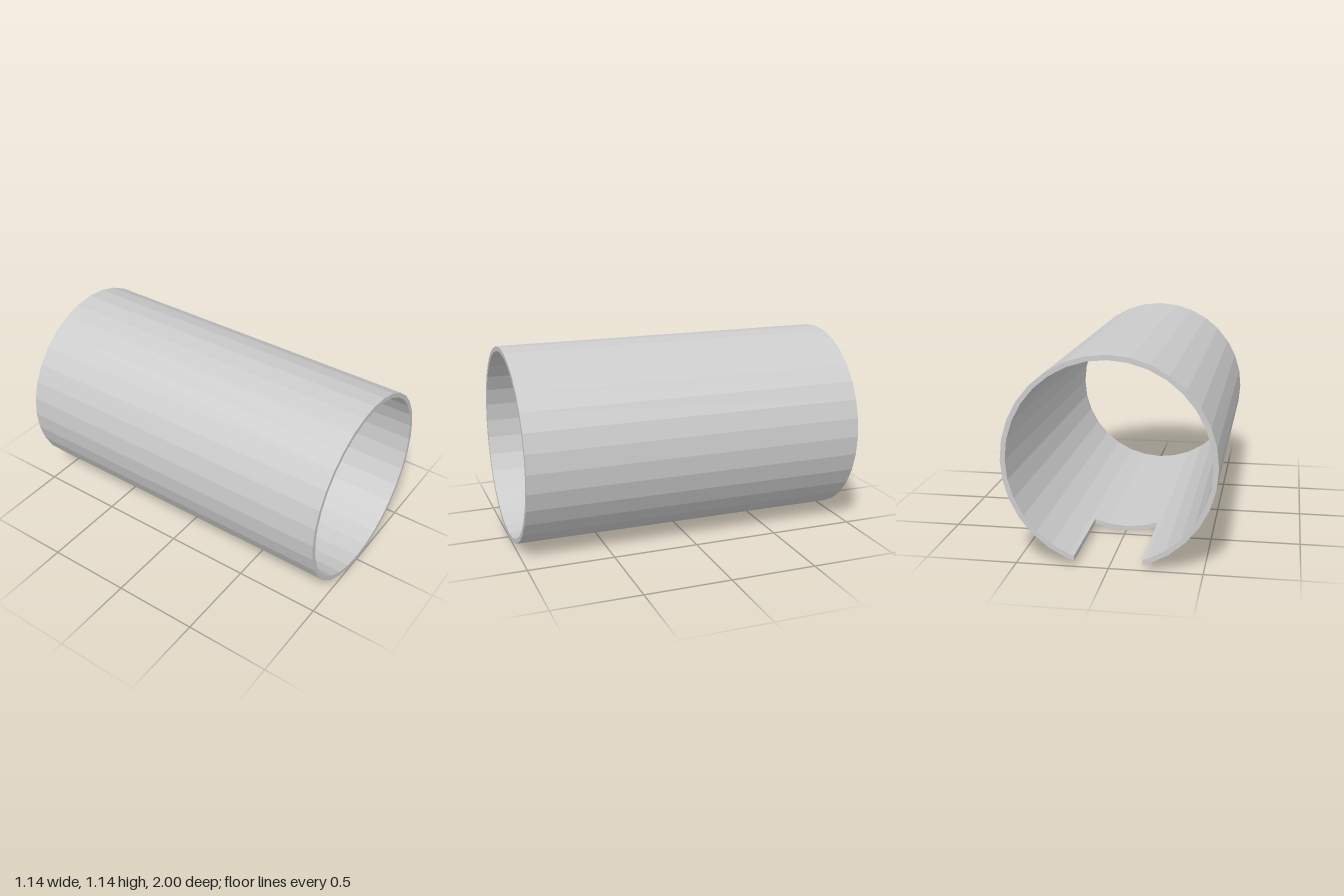
import * as THREE from 'three';

const SIDES = 32, OUTER = 0.571, INNER = 0.544, CENTRE_Y = 0.571;
const BACK = -1, FRONT = 1, SLOT_END = -0.44, SLOT_HALF = 0.183;

// Corners of one wall outline, counter-clockwise from the bottom,
// with an extra point where each edge of the slot cuts it.
function outline(radius) {
  const corner = (i) => {
    const a = (i / SIDES) * Math.PI * 2;
    return new THREE.Vector2(radius * Math.sin(a), CENTRE_Y - radius * Math.cos(a));
  };
  const points = [];
  for (let i = 0; i < SIDES; i++) {
    const p = corner(i), q = corner(i + 1);
    points.push(p);
    for (const x of [-SLOT_HALF, SLOT_HALF]) {
      if (p.y < CENTRE_Y / 2 && (p.x - x) * (q.x - x) < 0) {
        points.push(p.clone().lerp(q, (x - p.x) / (q.x - p.x)));
      }
    }
  }
  return points;
}

function slottedTubeGeometry() {
  const out = outline(OUTER), inn = outline(INNER), n = out.length;
  const positions = [];
  const at = (p, z) => [p.x, p.y, z];
  const quad = (a, b, c, d) => positions.push(...a, ...b, ...c, ...a, ...c, ...d);

  for (let i = 0; i < n; i++) {
    const j = (i + 1) % n;
    const inSlot = out[i].y < CENTRE_Y && Math.abs(out[i].x + out[j].x) / 2 < SLOT_HALF && out[j].y < CENTRE_Y;
    const z = inSlot ? SLOT_END : BACK;
    // Outer wall, inner wall, front rim, back rim
    quad(at(out[i], z), at(out[j], z), at(out[j], FRONT), at(out[i], FRONT));
    quad(at(inn[j], z), at(inn[i], z), at(inn[i], FRONT), at(inn[j], FRONT));
    quad(at(out[i], FRONT), at(out[j], FRONT), at(inn[j], FRONT), at(inn[i], FRONT));
    quad(at(out[j], z), at(out[i], z), at(inn[i], z), at(inn[j], z));
  }

  // Long side faces of the slot
  const right = out.findIndex((p) => p.y < CENTRE_Y && Math.abs(p.x - SLOT_HALF) < 1e-6);
  const left = out.findIndex((p) => p.y < CENTRE_Y && Math.abs(p.x + SLOT_HALF) < 1e-6);
  for (const [k, z0, z1] of [[right, BACK, SLOT_END], [left, SLOT_END, BACK]]) {
    quad(at(out[k], z0), at(out[k], z1), at(inn[k], z1), at(inn[k], z0));
  }

  const geometry = new THREE.BufferGeometry();
  geometry.setAttribute('position', new THREE.Float32BufferAttribute(positions, 3));
  geometry.computeVertexNormals();
  return geometry;
}

export function createModel() {
  const group = new THREE.Group();
  group.name = 'slottedSleeve';
  const material = new THREE.MeshStandardMaterial({ color: 0xcccccc, flatShading: true });
  const tube = new THREE.Mesh(slottedTubeGeometry(), material);
  tube.name = 'slottedTube';
  group.add(tube);
  return group;
}
